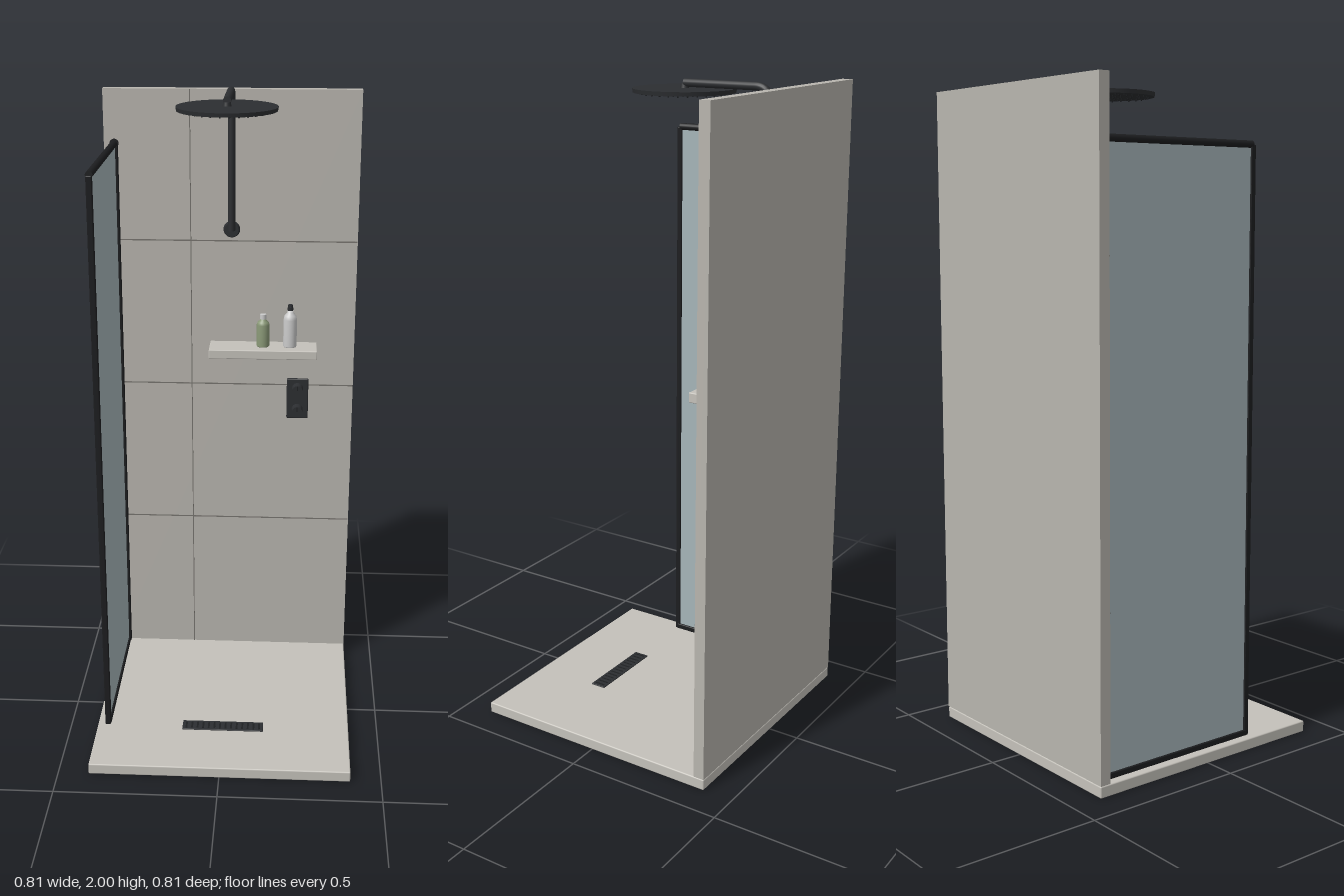
import * as THREE from 'three';
import { RoundedBoxGeometry } from 'three/addons/geometries/RoundedBoxGeometry.js';

const mat = (color) => new THREE.MeshStandardMaterial({ color });

export function createModel() {
  const root = new THREE.Group();
  const stone = mat(0xc4c1ba), wallMat = mat(0xb8b5ae), grout = mat(0x77746f);
  const black = mat(0x2c2e31), frameMat = mat(0x1c1d1f), slotMat = mat(0x1e2022);
  const glassMat = mat(0xa6b5b9), green = mat(0x8b9a78), white = mat(0xe0e0dc);

  const add = (parent, name, geo, material, x = 0, y = 0, z = 0) => {
    const m = new THREE.Mesh(geo, material);
    m.name = name;
    m.position.set(x, y, z);
    parent.add(m);
    return m;
  };
  const group = (name, x = 0, y = 0, z = 0) => {
    const g = new THREE.Group();
    g.name = name;
    g.position.set(x, y, z);
    root.add(g);
    return g;
  };
  // Box given by its lower and upper corners, optionally with rounded edges
  const span = (parent, name, material, a, b, r = 0) => {
    const s = a.map((v, i) => b[i] - v);
    const geo = r ? new RoundedBoxGeometry(...s, 2, r) : new THREE.BoxGeometry(...s);
    return add(parent, name, geo, material, ...a.map((v, i) => (v + b[i]) / 2));
  };
  const lathe = (pts) => new THREE.LatheGeometry(pts.map((p) => new THREE.Vector2(...p)), 24);

  // Tray and back wall
  span(root, 'tray', stone, [-0.405, 0, -0.405], [0.405, 0.035, 0.405], 0.004);
  span(root, 'backWall', wallMat, [-0.405, 0.036, -0.405], [0.405, 1.985, -0.371]);

  // Tile joints
  const joints = group('tileJoints');
  for (const y of [0.53, 1.02, 1.507])
    span(joints, 'horizontalJoint', grout, [-0.404, y - 0.002, -0.372], [0.404, y + 0.002, -0.37]);
  span(joints, 'verticalJoint', grout, [-0.134, 0.036, -0.372], [-0.131, 1.984, -0.37]);

  // Slotted drain
  const drain = group('drain');
  span(drain, 'drainCover', black, [-0.13, 0.03, 0.15], [0.13, 0.038, 0.2], 0.002);
  for (let i = 0; i < 14; i++) {
    const x = -0.117 + i * 0.018;
    span(drain, 'drainSlot', slotMat, [x - 0.003, 0.036, 0.158], [x + 0.003, 0.0385, 0.192]);
  }

  // Framed glass screen
  const screen = group('glassScreen', -0.372);
  span(screen, 'glassPane', glassMat, [-0.004, 0.045, -0.365], [0.004, 1.815, 0.175]);
  span(screen, 'frontPost', frameMat, [-0.009, 0.036, 0.168], [0.009, 1.815, 0.185], 0.003);
  span(screen, 'wallProfile', frameMat, [-0.012, 0.036, -0.371], [0.012, 1.82, -0.355], 0.003);
  span(screen, 'bottomRail', frameMat, [-0.01, 0.036, -0.368], [0.01, 0.054, 0.178], 0.003);
  const rail = add(screen, 'topRail', new THREE.CylinderGeometry(0.011, 0.011, 0.545, 16), frameMat, 0, 1.816, -0.097);
  rail.rotation.x = Math.PI / 2;
  const cap = add(screen, 'railWallCap', new THREE.CylinderGeometry(0.014, 0.014, 0.012, 20), frameMat, 0, 1.816, -0.364);
  cap.rotation.x = Math.PI / 2;

  // Riser pipe with a rounded bend
  const shower = group('shower');
  const path = new THREE.CurvePath();
  const P = (y, z) => new THREE.Vector3(0, y, z);
  path.add(new THREE.LineCurve3(P(1.545, -0.35), P(1.943, -0.35)));
  path.add(new THREE.QuadraticBezierCurve3(P(1.943, -0.35), P(1.988, -0.35), P(1.988, -0.305)));
  path.add(new THREE.LineCurve3(P(1.988, -0.305), P(1.988, -0.073)));
  add(shower, 'showerArm', new THREE.TubeGeometry(path, 96, 0.012, 16), black);
  const tip = add(shower, 'armTip', new THREE.CircleGeometry(0.012, 16), black, 0, 1.988, -0.073);
  tip.name = 'armEndCap';
  const foot = add(shower, 'armFoot', new THREE.CircleGeometry(0.012, 16), black, 0, 1.545, -0.35);
  foot.rotation.x = Math.PI / 2;
  const flange = add(shower, 'wallFlange', new THREE.CylinderGeometry(0.023, 0.027, 0.012, 28), black, 0, 1.545, -0.365);
  flange.rotation.x = Math.PI / 2;

  // Rain head with rings of nozzles beneath
  const head = new THREE.Group();
  head.name = 'rainHead';
  head.position.set(0, 1.967, -0.072);
  shower.add(head);
  add(head, 'headDisc', new THREE.CylinderGeometry(0.15, 0.148, 0.012, 40), black);
  add(head, 'headCollar', new THREE.CylinderGeometry(0.011, 0.014, 0.016, 20), black, 0, 0.01, 0);
  const nozzle = new THREE.CylinderGeometry(0.003, 0.002, 0.005, 8);
  for (let ring = 1; ring <= 5; ring++)
    for (let i = 0; i < ring * 6; i++) {
      const a = (i / (ring * 6)) * Math.PI * 2, r = ring * 0.026;
      add(head, 'nozzle', nozzle, slotMat, Math.cos(a) * r, -0.008, Math.sin(a) * r);
    }

  // Shelf
  span(root, 'shelf', stone, [-0.07, 1.14, -0.371], [0.282, 1.17, -0.268], 0.003);

  // Small bottle with a pale cap
  const small = group('smallBottle', 0.105, 1.17, -0.32);
  add(small, 'bottleBody', lathe([[0, 0], [0.019, 0], [0.021, 0.003], [0.021, 0.073], [0.018, 0.082], [0.01, 0.089], [0.009, 0.096], [0, 0.096]]), green);
  add(small, 'bottleCap', new THREE.CylinderGeometry(0.01, 0.01, 0.016, 20), white, 0, 0.1, 0);

  // Tall bottle with a pump
  const tall = group('pumpBottle', 0.193, 1.17, -0.32);
  add(tall, 'bottleBody', lathe([[0, 0], [0.02, 0], [0.022, 0.003], [0.022, 0.092], [0.019, 0.105], [0.01, 0.115], [0.009, 0.122], [0, 0.122]]), white);
  add(tall, 'pumpCollar', new THREE.CylinderGeometry(0.009, 0.009, 0.01, 20), black, 0, 0.126, 0);
  add(tall, 'pumpTop', new THREE.CylinderGeometry(0.008, 0.008, 0.01, 20), black, 0, 0.136, 0);
  span(tall, 'pumpSpout', black, [-0.003, 0.132, 0], [0.003, 0.138, 0.025]);

  // Mixer plate with two knobs
  const mixer = group('mixer', 0.221, 0.974, -0.371);
  span(mixer, 'mixerPlate', black, [-0.036, -0.07, 0], [0.036, 0.07, 0.011], 0.004);
  for (const y of [0.037, -0.037]) {
    const knob = add(mixer, 'knob', new THREE.CylinderGeometry(0.017, 0.019, 0.028, 24), black, 0, y, 0.024);
    knob.rotation.x = Math.PI / 2;
    span(mixer, 'knobMark', slotMat, [-0.002, y, 0.036], [0.002, y + 0.014, 0.039]);
  }
  return root;
}
